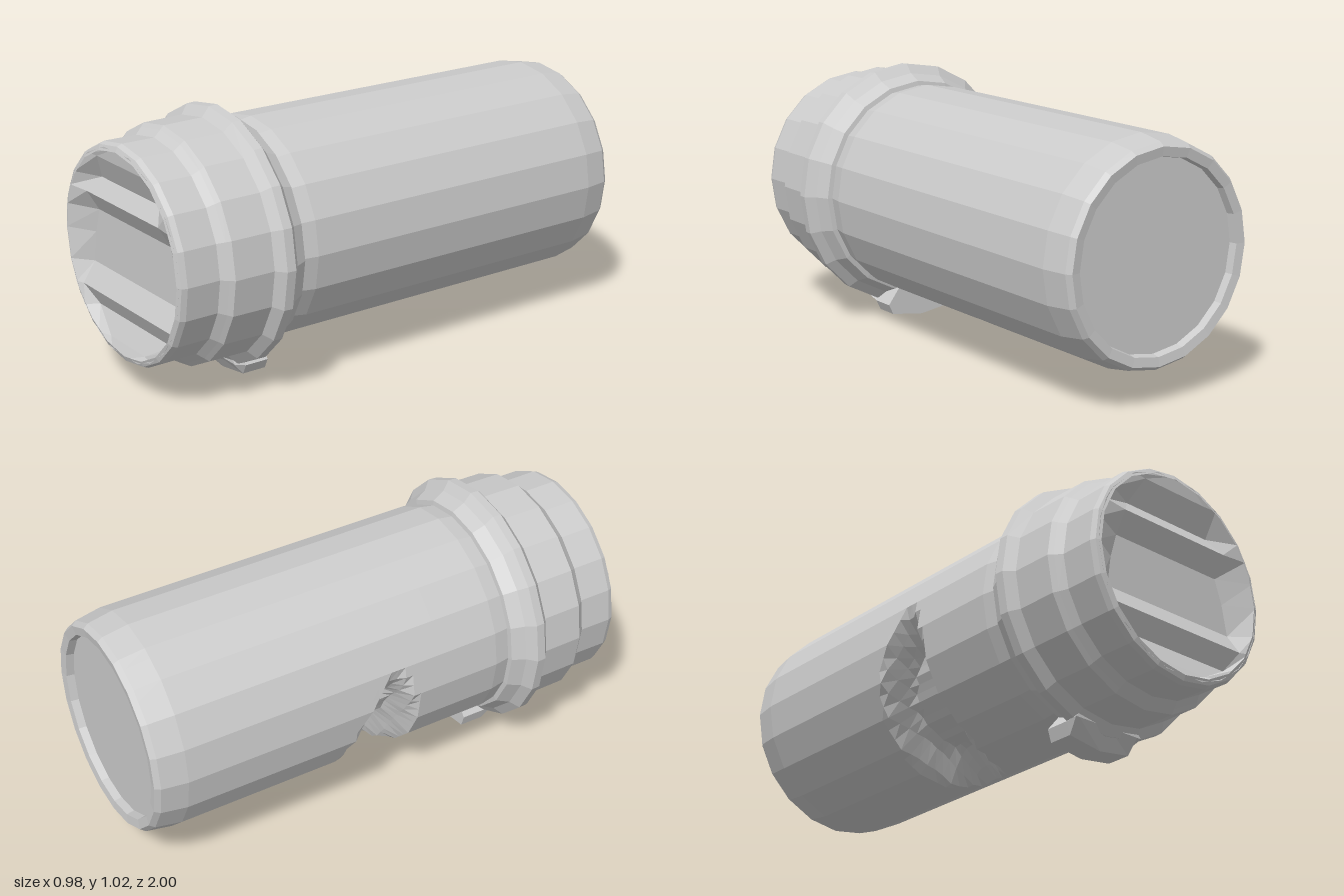
import * as THREE from 'three';

const CY = 0.535; // height of the barrel axis
const SIDES = 20;
const mat = new THREE.MeshStandardMaterial({ color: 0xcccccc, flatShading: true, side: THREE.DoubleSide });

function add(group, name, geo) {
  geo.computeVertexNormals();
  const m = new THREE.Mesh(geo, mat);
  m.name = name;
  group.add(m);
  return m;
}

// Lathe around the z axis; profile is a list of [radius, z]
function turned(profile, segments) {
  const g = new THREE.LatheGeometry(profile.map(([r, z]) => new THREE.Vector2(r, z)), segments);
  return g.rotateX(Math.PI / 2);
}

// Long barrel, 20 flat sides, with a hollow scooped from its lower -x side
function barrelGeometry() {
  const profile = [[0, -0.965], [0.35, -0.965], [0.355, -0.995], [0.39, -1], [0.405, -0.98], [0.422, -0.88]];
  for (let z = -0.3; z < 0.2; z += 0.03) profile.push([0.422, z]);
  profile.push([0.422, 0.43], [0.41, 0.5]);
  const g = turned(profile, SIDES * 3);
  const p = g.attributes.position;
  const step = (2 * Math.PI) / SIDES;
  for (let i = 0; i < p.count; i++) {
    const x = p.getX(i), y = p.getY(i), z = p.getZ(i);
    const a = Math.atan2(x, -y); // 0 at the bottom, negative towards -x
    let r = Math.hypot(x, y);
    const t = (((a % step) + step) % step) - step / 2;
    r *= Math.cos(step / 2) / Math.cos(t);
    const u = (a + 0.75) / 1.08;
    const v = (z + 0.075 + 0.06 * u) / (0.155 + 0.03 * u);
    const d = u * u + v * v;
    if (d < 1 && z > -0.4 && z < 0.3) r -= 0.13 * Math.min(1, 2 * (1 - d));
    p.setXYZ(i, Math.sin(a) * r, -Math.cos(a) * r, z);
  }
  return g;
}

// Front face: dished rows carrying two horizontal ridges; [height, depth, half width]
function faceGeometry() {
  const rows = [
    [0.385, 0, 0.03], [0.335, 0.005, 0.15], [0.235, 0.05, 0.2], [0.175, 0.012, 0.25],
    [0.095, 0.06, 0.25], [0, 0.06, 0.28], [-0.12, 0.06, 0.3], [-0.2, 0.012, 0.31],
    [-0.275, 0.05, 0.26], [-0.35, 0.015, 0.12], [-0.385, 0, 0.03],
  ];
  const pos = [], idx = [];
  rows.forEach(([y, depth, w], j) => {
    const c = Math.sqrt(0.395 * 0.395 - y * y);
    const inner = Math.min(w, c * 0.9);
    [-c, -inner, inner, c].forEach((x, i) => pos.push(x, y, 0.995 - (i % 3 ? depth : 0)));
    if (j) for (let i = 0; i < 3; i++) {
      const a = (j - 1) * 4 + i, b = a + 4;
      idx.push(a, b, a + 1, a + 1, b, b + 1);
    }
  });
  const g = new THREE.BufferGeometry();
  g.setAttribute('position', new THREE.Float32BufferAttribute(pos, 3));
  g.setIndex(idx);
  return g;
}

// Small catch under the collar, sloping up towards the front
function catchGeometry() {
  const s = new THREE.Shape([[-0.16, 0.07], [-0.145, 0.022], [0, 0], [0.14, 0.02], [0.16, 0.06], [0.1, 0.14], [-0.1, 0.14]]
    .map(([x, y]) => new THREE.Vector2(x, y)));
  const g = new THREE.ExtrudeGeometry(s, { depth: 0.145, steps: 3, bevelEnabled: false });
  const p = g.attributes.position;
  for (let i = 0; i < p.count; i++) {
    if (p.getZ(i) > 0.12) p.setY(i, Math.max(p.getY(i), 0.075));
  }
  return g.translate(0, 0, 0.48);
}

export function createModel() {
  const model = new THREE.Group();
  model.name = 'cylinder';

  add(model, 'barrel', barrelGeometry()).position.y = CY;

  // Flared collar, wider band and front neck
  add(model, 'collar', turned([[0.405, 0.49], [0.43, 0.495], [0.455, 0.545], [0.49, 0.575], [0.488, 0.61], [0.452, 0.64]], SIDES)).position.y = CY;
  add(model, 'band', turned([[0.452, 0.64], [0.45, 0.8], [0.435, 0.815], [0.412, 0.84]], SIDES)).position.y = CY;
  add(model, 'neck', turned([[0.412, 0.84], [0.413, 0.97], [0.405, 0.99], [0.385, 0.998]], SIDES)).position.y = CY;

  add(model, 'frontFace', faceGeometry()).position.y = CY;
  add(model, 'catch', catchGeometry());
  return model;
}
